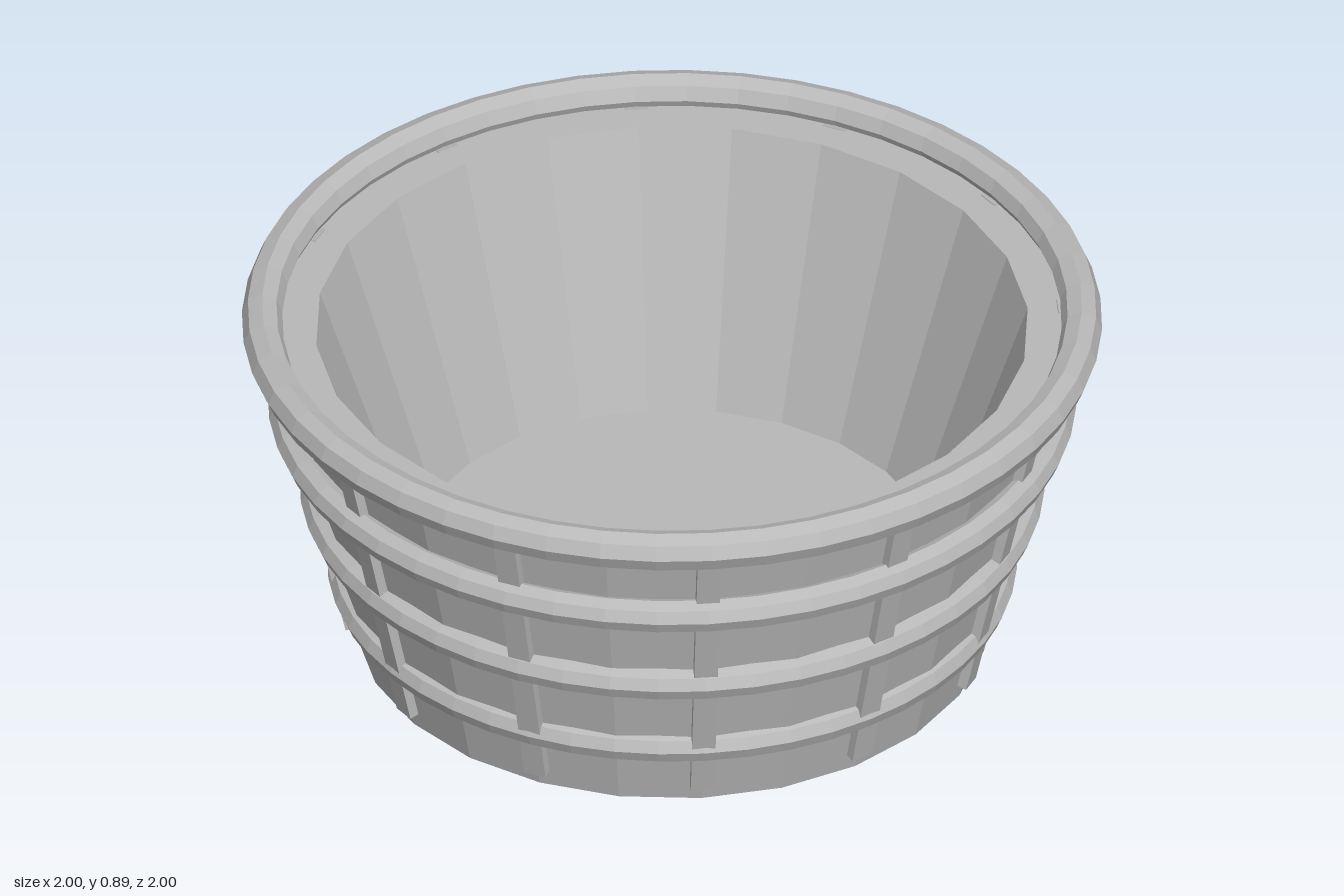
import * as THREE from 'three';

const grey = new THREE.MeshStandardMaterial({ color: 0xb8b8b8, flatShading: true });
grey.name = 'grey';

// Revolve a [radius, height] profile around the y axis.
function lathe(name, profile, sides) {
  const points = profile.map(([r, y]) => new THREE.Vector2(r, y));
  const mesh = new THREE.Mesh(new THREE.LatheGeometry(points, sides), grey);
  mesh.name = name;
  return mesh;
}

// Hoop with an eight-sided section.
function hoop(name, radius, y, tube) {
  const profile = [];
  for (let i = 0; i <= 8; i++) {
    const a = (i / 8) * Math.PI * 2;
    profile.push([radius + tube * Math.cos(a), y + tube * Math.sin(a)]);
  }
  return lathe(name, profile, 48);
}

export function createModel() {
  const basket = new THREE.Group();
  basket.name = 'basket';

  // Tapered bowl with a thick wall and a raised inner floor
  basket.add(lathe('bowl', [
    [0, 0], [0.735, 0], [0.925, 0.827], [0.83, 0.827], [0.61, 0.18], [0, 0.18],
  ], 24));

  // Rim and three hoops around the wall
  basket.add(hoop('rim', 0.953, 0.845, 0.047));
  [[0.762, 0.17], [0.826, 0.388], [0.9, 0.627]].forEach(([r, y], i) => {
    basket.add(hoop(`hoop${i + 1}`, r, y, 0.04));
  });

  // Twelve slanted upright ribs
  const ribGeometry = new THREE.BoxGeometry(0.055, 0.8, 0.045);
  ribGeometry.rotateX(Math.atan(0.23));
  ribGeometry.translate(0, 0.435, 0.832);
  const ribs = new THREE.Group();
  ribs.name = 'ribs';
  for (let i = 0; i < 12; i++) {
    const rib = new THREE.Mesh(ribGeometry, grey);
    rib.name = 'rib';
    rib.rotation.y = (i / 12) * Math.PI * 2;
    ribs.add(rib);
  }
  basket.add(ribs);

  return basket;
}
